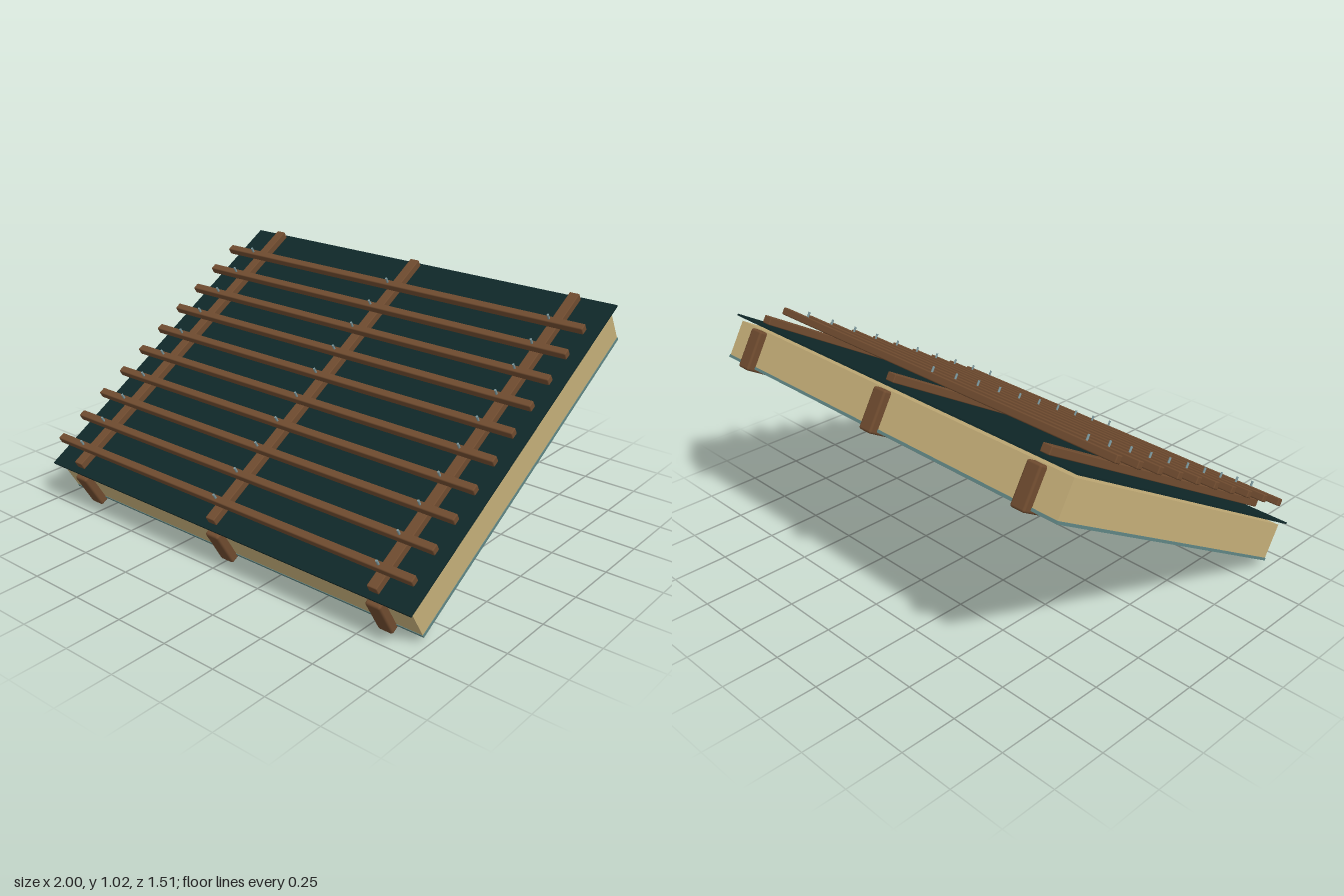
import * as THREE from 'three';
import { RoundedBoxGeometry } from 'three/addons/geometries/RoundedBoxGeometry.js';

const material = (name, color) => {
  const m = new THREE.MeshStandardMaterial({ color });
  m.name = name;
  return m;
};

export function createModel() {
  const wood = material('wood', 0x6f4b2f);
  const wool = material('insulation', 0xc4ae78);
  const foil = material('vapour barrier', 0x5f8583);
  const felt = material('underlay', 0x0f2829);
  const steel = material('nail steel', 0x7c979c);

  // Layers are stacked flat along y, then the whole section is pitched
  const roof = new THREE.Group();
  roof.name = 'pitchedRoofSection';
  roof.rotation.x = Math.PI / 6;

  // Box given by x centre, width, and y and z ranges; optional rounded edges
  const layer = (name, mat, x, width, [y0, y1], [z0, z1], radius = 0) => {
    const size = [width, y1 - y0, z1 - z0];
    const geometry = radius
      ? new RoundedBoxGeometry(...size, 2, radius)
      : new THREE.BoxGeometry(...size);
    const mesh = new THREE.Mesh(geometry, mat);
    mesh.name = name;
    mesh.position.set(x, (y0 + y1) / 2, (z0 + z1) / 2);
    roof.add(mesh);
  };

  // Sheets and insulation
  layer('vapourBarrier', foil, 0, 1.962, [0.347, 0.359], [-1.036, 0.542]);
  layer('insulation', wool, 0, 1.956, [0.359, 0.516], [-1.034, 0.54]);
  layer('underlay', felt, 0, 2, [0.53, 0.538], [-1.054, 0.564]);

  // Rafters below, counter battens above
  const rafterX = [-0.823, 0, 0.823];
  for (const x of rafterX) {
    layer('rafter', wood, x, 0.07, [0.334, 0.512], [-1.07, 0.577], 0.01);
    layer('counterBatten', wood, x, 0.046, [0.547, 0.582], [-1.034, 0.54], 0.004);
  }

  // Tile battens, nailed at each rafter
  const nailGeometry = new THREE.CylinderGeometry(0.005, 0.005, 0.03, 10);
  for (let i = 0; i < 10; i++) {
    const z = 0.466 - i * 0.1436;
    layer('tileBatten', wood, 0, 1.962, [0.596, 0.629], [z - 0.0165, z + 0.0165], 0.005);
    for (const x of rafterX) {
      const nail = new THREE.Mesh(nailGeometry, steel);
      nail.name = 'nail';
      nail.position.set(x, 0.638, z);
      roof.add(nail);
    }
  }

  const model = new THREE.Group();
  model.name = 'roofSection';
  model.add(roof);
  return model;
}
